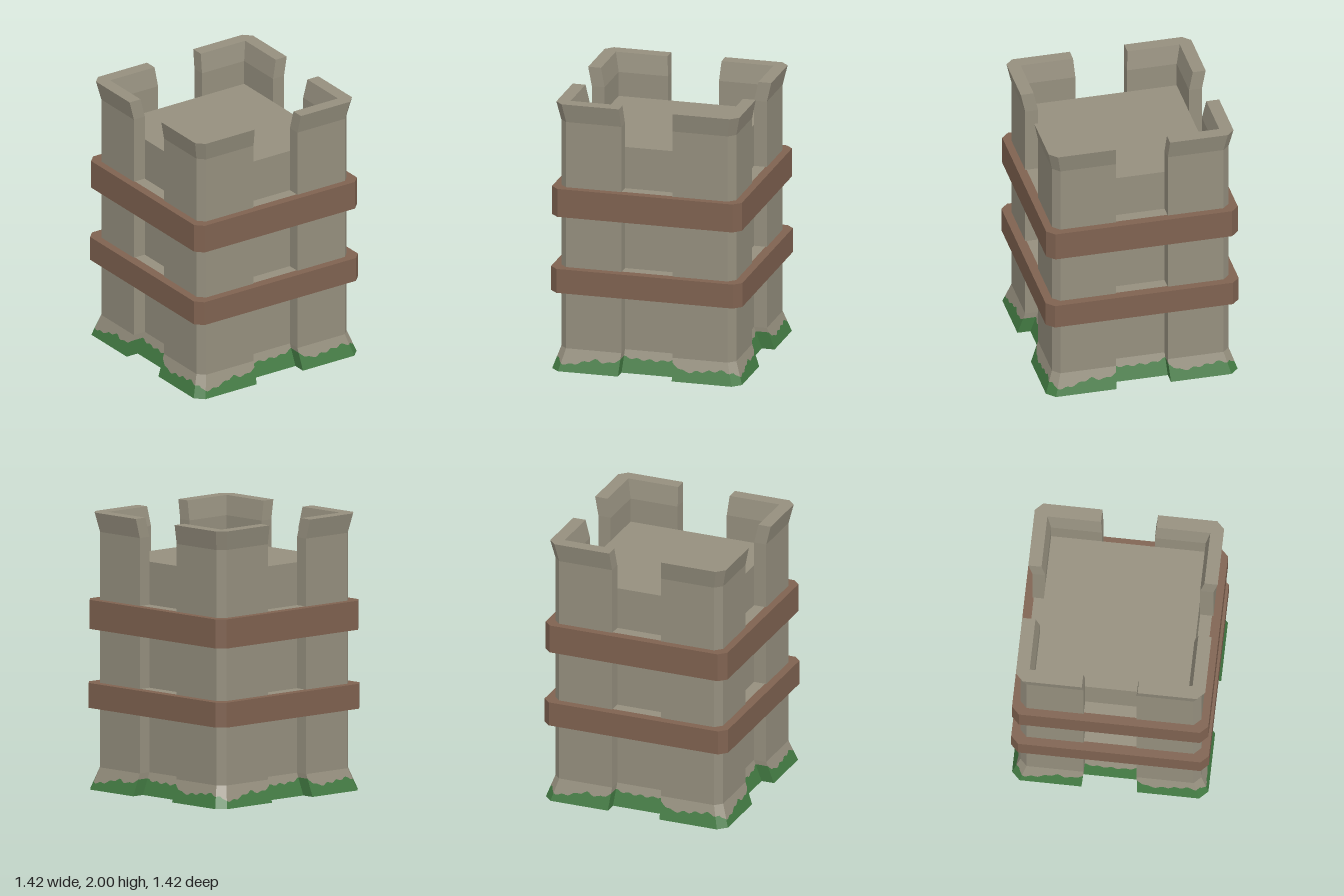
import * as THREE from 'three';

const flat = (name, color) => new THREE.MeshStandardMaterial({ name, color, flatShading: true, side: THREE.DoubleSide });

// Collects triangles into one named mesh, dropping collapsed ones
function makePart(name, material, quads) {
  const pos = [];
  const ab = new THREE.Vector3(), ac = new THREE.Vector3();
  const tri = (a, b, c) => {
    ab.subVectors(b, a);
    ac.subVectors(c, a);
    if (ab.cross(ac).length() < 1e-7) return;
    for (const p of [a, b, c]) pos.push(p.x, p.y, p.z);
  };
  for (const [a, b, c, d] of quads) {
    tri(a, b, c);
    if (d) tri(a, c, d);
  }
  const geometry = new THREE.BufferGeometry();
  geometry.setAttribute('position', new THREE.Float32BufferAttribute(pos, 3));
  geometry.computeVertexNormals();
  const mesh = new THREE.Mesh(geometry, material);
  mesh.name = name;
  return mesh;
}

// Square outline with chamfered corners and a recess in the middle of each side
function ring(y, outer, recess, gap = 0.19, chamfer = 0.05) {
  const side = [
    [-outer + chamfer, outer], [-gap, outer], [-gap, recess],
    [gap, recess], [gap, outer], [outer - chamfer, outer],
  ];
  const points = [];
  for (let k = 0; k < 4; k++) {
    for (const [u, d] of side) {
      let x = u, z = d;
      for (let i = 0; i < k; i++) [x, z] = [z, -x];
      points.push(new THREE.Vector3(x, y, z));
    }
  }
  return points;
}

// Joins a stack of closed outlines with quads
function loft(rings) {
  const quads = [];
  for (let r = 0; r + 1 < rings.length; r++) {
    const low = rings[r], up = rings[r + 1], n = low.length;
    for (let i = 0; i < n; i++) {
      const j = (i + 1) % n;
      quads.push([low[i], low[j], up[j], up[i]]);
    }
  }
  return quads;
}

// Uneven upper edge of the moss, following the distance along a side
const mossSteps = [0.07, 0.05, 0.07, 0.10, 0.08, 0.11, 0.10, 0.10, 0.10, 0.12, 0.07, 0.08, 0.09, 0.10, 0.07];
function mossHeight(p) {
  const u = Math.abs(p.z) > Math.abs(p.x) ? p.x * Math.sign(p.z) : -p.z * Math.sign(p.x);
  const t = THREE.MathUtils.clamp((u + 0.7) * 10, 0, 13.999);
  const i = Math.floor(t);
  return THREE.MathUtils.lerp(mossSteps[i], mossSteps[i + 1], t - i) + 0.008 * Math.cos(u * 65);
}

export function createModel() {
  const stone = flat('stone', 0x958f7e);
  const wood = flat('wood', 0x7f6250);
  const moss = flat('moss', 0x437b43);

  const tower = new THREE.Group();
  tower.name = 'tower';
  const OUT = 0.65, IN = 0.555, FOOT = 0.16, FLOOR = 1.68;

  // Flared foot, split along the moss edge
  const footLow = ring(0, 0.705, 0.61, 0.2, 0.06);
  const footUp = ring(FOOT, OUT, IN);
  const mossQuads = [], footQuads = [];
  footLow.forEach((a, i) => {
    const j = (i + 1) % footLow.length;
    const n = Math.ceil(a.distanceTo(footLow[j]) / 0.02);
    const column = (t) => {
      const low = a.clone().lerp(footLow[j], t);
      const up = footUp[i].clone().lerp(footUp[j], t);
      return [low, low.clone().lerp(up, mossHeight(low) / FOOT), up];
    };
    for (let k = 0; k < n; k++) {
      const p = column(k / n), q = column((k + 1) / n);
      mossQuads.push([p[0], q[0], q[1], p[1]]);
      footQuads.push([p[1], q[1], q[2], p[2]]);
    }
  });
  tower.add(makePart('mossEdge', moss, mossQuads), makePart('flaredFoot', stone, footQuads));

  // Wall sections with stone ledges reaching out to the bands
  const bands = [
    { name: 'lowerBand', bottom: 0.59, top: 0.77, outer: 0.71 },
    { name: 'upperBand', bottom: 1.16, top: 1.37, outer: 0.705 },
  ];
  const LEDGE = 0.64;
  const sections = [[FOOT, 0.59], [0.77, 1.16], [1.37, FLOOR]];
  sections.forEach(([bottom, top], i) => {
    const rings = [ring(bottom, OUT, IN), ring(top, OUT, IN)];
    if (i > 0) rings.unshift(ring(bottom, OUT, LEDGE));
    if (i < 2) rings.push(ring(top, OUT, LEDGE));
    tower.add(makePart('wallSection' + (i + 1), stone, loft(rings)));
  });

  // Wooden bands wrapping straight across the recesses
  for (const { name, bottom, top, outer } of bands) {
    tower.add(makePart(name, wood, loft([
      ring(bottom, OUT, LEDGE),
      ring(bottom, outer, outer, 0.19, 0.055),
      ring(top, outer, outer, 0.19, 0.055),
      ring(top, OUT, LEDGE),
    ])));
  }

  // Roof floor
  const corner = (x, z) => new THREE.Vector3(x * IN, FLOOR, z * IN);
  tower.add(makePart('roofFloor', stone, [[corner(-1, 1), corner(1, 1), corner(1, -1), corner(-1, -1)]]));

  // Four L-shaped corner battlements, flaring out at the top
  const cornerRing = (y, o, inner, g, c) => [
    [g, inner], [g, o], [o - c, o], [o, o - c], [o, g], [inner, g], [inner, inner],
  ].map(([x, z]) => new THREE.Vector3(x, y, z));
  const topRing = cornerRing(2, 0.68, 0.585, 0.2, 0.055);
  const quads = loft([
    cornerRing(FLOOR, OUT, IN, 0.19, 0.05),
    cornerRing(1.86, OUT, IN, 0.19, 0.05),
    topRing,
  ]);
  for (let i = 0; i < 5; i++) quads.push([topRing[6], topRing[i], topRing[i + 1]]);
  for (let k = 0; k < 4; k++) {
    const battlement = makePart('cornerBattlement' + (k + 1), stone, quads);
    battlement.rotation.y = k * Math.PI / 2;
    tower.add(battlement);
  }
  return tower;
}
